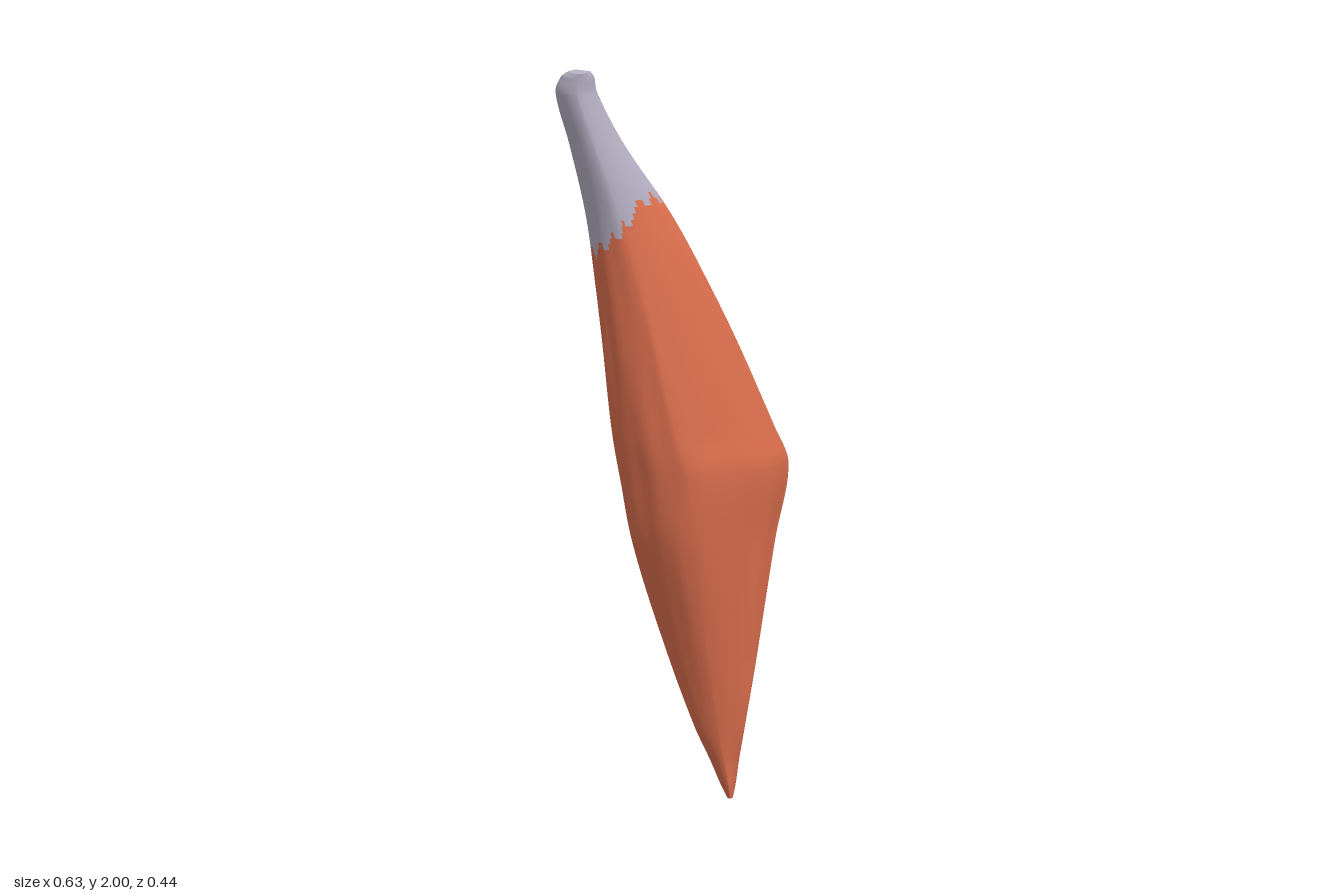
import * as THREE from 'three';

// Cross-sections from bottom to top: y, xMin, xMax, zMin, zMax, then where along its side
// of that box the outline touches left (z), front (x), right (z) and back (x), as fractions.
const SECTIONS = [
  [0.00, 0.157, 0.172, -0.214, -0.182, 0.5, 0.5, 0.5, 0.6],
  [0.04, 0.138, 0.180, -0.224, -0.168, 0.5, 0.5, 0.45, 0.8],
  [0.10, 0.113, 0.187, -0.212, -0.153, 0.45, 0.47, 0.5, 0.8],
  [0.20, 0.068, 0.202, -0.183, -0.125, 0.4, 0.45, 0.5, 0.8],
  [0.40, -0.004, 0.235, -0.187, -0.060, 0.42, 0.42, 0.35, 0.8],
  [0.70, -0.097, 0.278, -0.186, 0.038, 0.5, 0.39, 0.23, 0.85],
  [0.90, -0.138, 0.310, -0.142, 0.085, 0.48, 0.38, 0.1, 0.92],
  [1.00, -0.155, 0.275, -0.112, 0.100, 0.48, 0.37, 0.09, 0.93],
  [1.20, -0.178, 0.192, -0.053, 0.124, 0.48, 0.37, 0.1, 0.9],
  [1.40, -0.200, 0.100, 0.000, 0.145, 0.42, 0.37, 0.16, 0.75],
  [1.60, -0.228, -0.004, 0.046, 0.165, 0.32, 0.37, 0.25, 0.45],
  [1.80, -0.275, -0.133, 0.103, 0.193, 0.28, 0.44, 0.32, 0.35],
  [1.94, -0.312, -0.203, 0.133, 0.214, 0.3, 0.5, 0.38, 0.28],
  [1.985, -0.298, -0.212, 0.143, 0.219, 0.32, 0.5, 0.38, 0.32],
  [2.00, -0.280, -0.222, 0.152, 0.221, 0.35, 0.5, 0.4, 0.4],
];
const QUARTER = 18, RING = QUARTER * 4, STEPS = 12;

const mix = (a, b, t) => a + (b - a) * t;

// Smooth cubic between neighbouring sections, using their real spacing in y
function sectionAt(k, t) {
  const at = (i) => SECTIONS[Math.min(Math.max(i, 0), SECTIONS.length - 1)];
  const [p, a, b, n] = [at(k - 1), at(k), at(k + 1), at(k + 2)];
  const h = b[0] - a[0];
  const t2 = t * t, t3 = t2 * t;
  return a.map((v, c) => {
    if (c === 0) return mix(a[0], b[0], t);
    const m0 = h * (b[c] - p[c]) / (b[0] - p[0]);
    const m1 = h * (n[c] - a[c]) / (n[0] - a[0]);
    return (2 * t3 - 3 * t2 + 1) * v + (t3 - 2 * t2 + t) * m0 + (3 * t2 - 2 * t3) * b[c] + (t3 - t2) * m1;
  });
}

// Outline: four arcs joining the left, front, right and back touching points;
// each has its centre and a power that flattens it from round (1) to straight (2) or hollow
function outline([y, x0, x1, z0, z1, l, f, r, b]) {
  const left = [x0, mix(z0, z1, l)], front = [mix(x0, x1, f), z1];
  const right = [x1, mix(z0, z1, r)], back = [mix(x0, x1, b), z0];
  const cx = (x0 + x1) / 2, cz = (z0 + z1) / 2;
  const arcs = [
    [left, front, [front[0], left[1]], 1.15],
    [front, right, [front[0], right[1]], 1.45],
    [right, back, [back[0], right[1]], 2],
    [back, left, [back[0], left[1]], 1.6],
  ];
  const points = [];
  arcs.forEach(([s, e, c, p], q) => {
    for (let i = 0; i < QUARTER; i++) {
      const a = (i / QUARTER) * Math.PI / 2;
      const u = Math.cos(a) ** p, v = Math.sin(a) ** p;
      const x = c[0] + (s[0] - c[0]) * u + (e[0] - c[0]) * v;
      const z = c[1] + (s[1] - c[1]) * u + (e[1] - c[1]) * v;
      // shallow fibre grooves that drift along the length
      const g = (q * QUARTER + i) / RING * Math.PI * 2;
      const fade = Math.sin(Math.PI * Math.min(y / 1.8, 1));
      const k = 1 + 0.012 * fade * (Math.sin(9 * g + 5 * y) + 0.6 * Math.sin(14 * g - 7 * y));
      points.push(cx + (x - cx) * k, y, cz + (z - cz) * k);
    }
  });
  return points;
}

export function createModel() {
  const group = new THREE.Group();
  group.name = 'muscle';

  const positions = [], fractions = [];
  const addRing = (s) => {
    const ring = outline(s);
    for (let i = 0; i < ring.length; i += 3) fractions.push((ring[i] - s[1]) / (s[2] - s[1]));
    positions.push(...ring);
  };
  for (let k = 0; k < SECTIONS.length - 1; k++)
    for (let j = 0; j < STEPS; j++) addRing(sectionAt(k, j / STEPS));
  addRing(SECTIONS[SECTIONS.length - 1]);
  const rows = positions.length / 3 / RING;

  // Side faces, shared out between belly and tendon along a ragged slanting line
  const belly = [], tendon = [];
  for (let j = 0; j < rows - 1; j++) {
    for (let i = 0; i < RING; i++) {
      const n = (i + 1) % RING;
      const a = j * RING + i, b = j * RING + n, c = a + RING, d = b + RING;
      const limit = 1.49 + 0.15 * Math.min(1, fractions[a] * 1.4) + 0.014 * Math.sin(i * 1.1);
      (positions[a * 3 + 1] > limit ? tendon : belly).push(a, b, d, a, d, c);
    }
  }
  const position = new THREE.Float32BufferAttribute(positions, 3);
  const whole = new THREE.BufferGeometry();
  whole.setAttribute('position', position);
  whole.setIndex([...belly, ...tendon]);
  whole.computeVertexNormals();

  const bellyMaterial = new THREE.MeshStandardMaterial({ color: 0xe27250 });
  const tendonMaterial = new THREE.MeshStandardMaterial({ color: 0xb8b2c6 });
  const addMesh = (name, geometry, material) => {
    const mesh = new THREE.Mesh(geometry, material);
    mesh.name = name;
    group.add(mesh);
  };
  const addPart = (name, index, material) => {
    const geometry = new THREE.BufferGeometry();
    geometry.setAttribute('position', position);
    geometry.setAttribute('normal', whole.getAttribute('normal'));
    geometry.setIndex(index);
    addMesh(name, geometry, material);
  };
  addPart('muscleBelly', belly, bellyMaterial);
  addPart('tendon', tendon, tendonMaterial);

  // End caps: a fan over the first and last ring
  const addCap = (name, row, up, material) => {
    const ring = positions.slice(row * RING * 3, (row + 1) * RING * 3);
    const centre = [0, 1, 2].map((c) => ring.reduce((sum, v, i) => sum + (i % 3 === c ? v : 0), 0) / RING);
    const index = [];
    for (let i = 0; i < RING; i++) {
      const n = (i + 1) % RING;
      index.push(RING, up ? i : n, up ? n : i);
    }
    const geometry = new THREE.BufferGeometry();
    geometry.setAttribute('position', new THREE.Float32BufferAttribute([...ring, ...centre], 3));
    geometry.setIndex(index);
    geometry.computeVertexNormals();
    addMesh(name, geometry, material);
  };
  addCap('lowerTip', 0, false, bellyMaterial);
  addCap('tendonEnd', rows - 1, true, tendonMaterial);
  return group;
}
